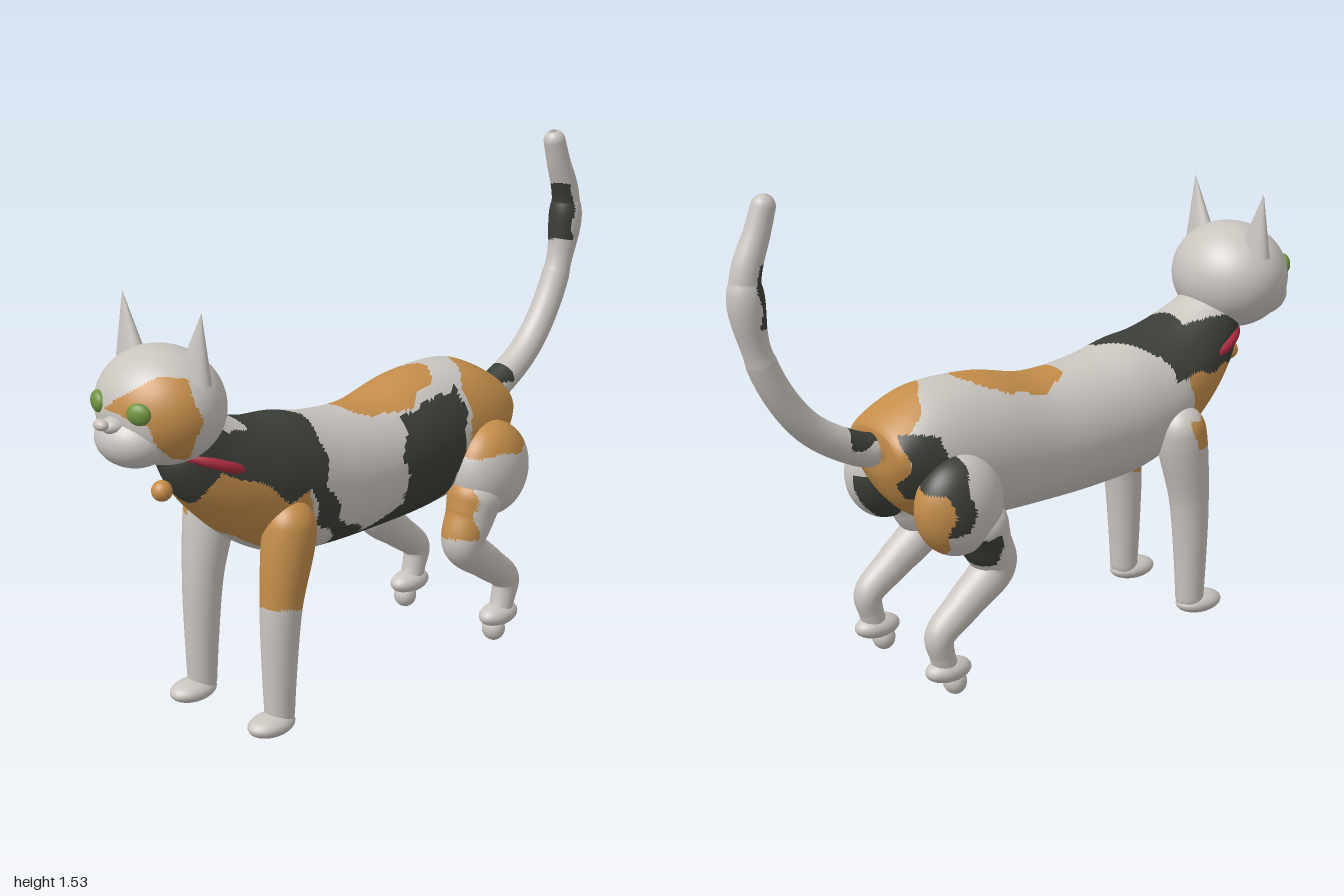
import * as THREE from 'three';
import { ParametricGeometry } from 'three/addons/geometries/ParametricGeometry.js';

const V = (x, y, z) => new THREE.Vector3(x, y, z);
const curve = (pts) => new THREE.CatmullRomCurve3(pts);
const WHITE = 0, ORANGE = 1, DARK = 2;

export function createModel() {
  const cat = new THREE.Group();
  cat.name = 'cat';
  const mat = (name, color) => {
    const m = new THREE.MeshStandardMaterial({ color });
    m.name = name;
    return m;
  };
  const white = mat('white fur', 0xc9c4be), orange = mat('orange fur', 0xc48d4a);
  const dark = mat('dark fur', 0x3b3e37), red = mat('red collar', 0xa82a3c);
  const green = mat('green eye', 0x6f9440), pink = mat('pale nose', 0xccbfb8);
  const fur = [white, orange, dark];

  const add = (name, geometry, material) => {
    const m = new THREE.Mesh(geometry, material);
    m.name = name;
    cat.add(m);
    return m;
  };

  // Sorts triangles into fur colour groups by a rule on their centre
  const addFur = (name, source, rule) => {
    const g = source.index ? source.toNonIndexed() : source;
    const p = g.attributes.position, n = g.attributes.normal;
    const bins = [[], [], []];
    for (let i = 0; i < p.count; i += 3) {
      const c = [0, 1, 2].map((k) => (p.getComponent(i, k) + p.getComponent(i + 1, k) + p.getComponent(i + 2, k)) / 3);
      const w = 0.008 * Math.sin(c[2] * 45 + c[0] * 30);
      bins[rule(c[0] + w, c[1] + w, c[2] + 0.008 * Math.sin(c[1] * 50))].push(i);
    }
    const pos = [], nor = [], out = new THREE.BufferGeometry();
    bins.forEach((bin, b) => {
      if (bin.length) out.addGroup(pos.length / 3, bin.length * 3, b);
      for (const i of bin) for (let j = i; j < i + 3; j++) {
        pos.push(p.getX(j), p.getY(j), p.getZ(j));
        nor.push(n.getX(j), n.getY(j), n.getZ(j));
      }
    });
    out.setAttribute('position', new THREE.Float32BufferAttribute(pos, 3));
    out.setAttribute('normal', new THREE.Float32BufferAttribute(nor, 3));
    return add(name, out, fur);
  };

  const ellipsoid = (x, y, z, rx, ry, rz, seg = 24) =>
    new THREE.SphereGeometry(1, seg, Math.ceil(seg * 0.7)).scale(rx, ry, rz).translate(x, y, z);

  // Round limb through [x, y, z, radius] points, with domed ends
  const limb = (pts, stacks = 70, slices = 28) => {
    const path = curve(pts.map((p) => V(p[0], p[1], p[2])));
    const radius = curve(pts.map((p) => V(p[3], 0, 0)));
    const start = path.getPoint(0), end = path.getPoint(1);
    return new ParametricGeometry((u, v, target) => {
      const c = path.getPoint(v), t = path.getTangent(v);
      const r = radius.getPoint(v).x;
      const d = Math.min(1, c.distanceTo(start) / r, c.distanceTo(end) / r);
      const k = r * Math.sqrt(Math.max(0.002, 1 - (1 - d) ** 2));
      const side = V(1, 0, 0).addScaledVector(t, -t.x).normalize();
      const up = V().crossVectors(t, side);
      const a = u * Math.PI * 2;
      target.copy(c).addScaledVector(side, k * Math.cos(a)).addScaledVector(up, k * Math.sin(a));
    }, slices, stacks);
  };

  const inside = (poly, a, b) => {
    let hit = false;
    poly.forEach(([x1, y1], i) => {
      const [x2, y2] = poly[(i + 1) % poly.length];
      if ((y1 > b) !== (y2 > b) && a < x1 + ((b - y1) * (x2 - x1)) / (y2 - y1)) hit = !hit;
    });
    return hit;
  };

  // Body and neck: [top z, top y, bottom z, bottom y, half width]
  const sections = [
    [-0.57, 0.80, -0.565, 0.69, 0.115], [-0.55, 0.825, -0.555, 0.65, 0.14],
    [-0.48, 0.87, -0.51, 0.57, 0.17], [-0.40, 0.90, -0.42, 0.50, 0.185],
    [-0.2, 0.90, -0.22, 0.465, 0.19], [0, 0.86, 0, 0.46, 0.185],
    [0.2, 0.875, 0.2, 0.465, 0.185], [0.33, 0.905, 0.36, 0.485, 0.19],
    [0.43, 0.915, 0.5, 0.55, 0.19], [0.52, 0.94, 0.62, 0.65, 0.17],
    [0.6, 0.98, 0.71, 0.75, 0.135], [0.66, 1.02, 0.75, 0.84, 0.11], [0.7, 1.04, 0.74, 0.88, 0.1],
  ];
  const topLine = curve(sections.map((s) => V(s[4], s[1], s[0])));
  const bottomLine = curve(sections.map((s) => V(s[4], s[3], s[2])));
  const body = new ParametricGeometry((u, v, target) => {
    const t = topLine.getPoint(v), b = bottomLine.getPoint(v);
    const e = Math.min(1, v / 0.02, (1 - v) / 0.02);
    const k = Math.sqrt(Math.max(0.001, 1 - (1 - e) ** 2));
    const a = u * Math.PI * 2, s = (Math.sin(a) * k) / 2;
    target.set(t.x * k * Math.cos(a), (t.y + b.y) / 2 + (t.y - b.y) * s, (t.z + b.z) / 2 + (t.z - b.z) * s);
  }, 100, 160);

  // Dark side patch outline as [z, y]
  const sidePatch = [
    [0.62, 1.0], [0.25, 0.95], [0.31, 0.73], [0.25, 0.60], [0.11, 0.51], [-0.03, 0.56],
    [-0.02, 0.71], [-0.06, 0.83], [-0.31, 0.87], [-0.28, 0.71], [-0.22, 0.42], [0.22, 0.42],
    [0.245, 0.53], [0.35, 0.63], [0.37, 0.72], [0.46, 0.72], [0.67, 0.85], [0.76, 0.9],
  ];
  addFur('body', body, (x, y, z) => {
    if (z > 0.53 && z < 0.68 && y > 0.93 && Math.abs(x) < 0.1) return WHITE;
    if (z > 0.6 && y > 0.73 + x * x * 6 && Math.abs(x) < 0.13) return DARK;
    if (x > 0.03 && inside(sidePatch, z, y) && (z > 0.1 || y < 0.8 || x > 0.12)) return DARK;
    if (x <= 0.03 && z > 0.29 - x * 0.8 && y > 0.8) return DARK;
    if (z > (x > 0 ? 0.38 : 0.47)) return Math.abs(x + 0.01) < 0.075 && y < 0.61 ? WHITE : ORANGE;
    if (y > 0.75 && (x / 0.11) ** 2 + ((z + 0.1) / 0.18) ** 2 < 1) return ORANGE;
    if (x < -0.1 && z < -0.43 && z > -0.54 && y < 0.8 && y > 0.6) return DARK;
    return z < -0.4 + 0.5 * x - (x < 0 ? x * x * 3 : 0) && (y > 0.64 || z < -0.42) ? ORANGE : WHITE;
  });

  // Head and muzzle
  addFur('head', ellipsoid(0, 1.035, 0.77, 0.195, 0.165, 0.17, 110), (x, y, z) => {
    if (y < 0.885 && z < 0.8) return DARK;
    if (z < 0.8 || x < -0.045) return WHITE;
    const cheek = x > 0.115 && y > 0.92 && y < 1.15;
    const brow = y > 1.045 - 0.1 * x && y < Math.min(1.08 + 0.75 * x, 1.15);
    return cheek || brow ? ORANGE : WHITE;
  });
  add('muzzle', ellipsoid(0, 0.965, 0.87, 0.115, 0.082, 0.1, 36), white);
  add('nose', ellipsoid(0, 1.027, 0.982, 0.025, 0.016, 0.018), pink);
  add('nose bridge', ellipsoid(0, 1.015, 0.93, 0.035, 0.025, 0.045), white);

  // Collar and bell
  const collar = add('collar', new THREE.TorusGeometry(0.14, 0.016, 14, 60), red);
  collar.rotation.x = Math.PI / 2 - 0.39;
  collar.position.set(0, 0.843, 0.62);
  add('bell', ellipsoid(0, 0.783, 0.775, 0.03, 0.03, 0.03), orange);

  // Tail
  addFur('tail', limb([
    [0, 0.73, -0.53, 0.052], [0, 0.755, -0.62, 0.05], [0, 0.86, -0.785, 0.046],
    [0, 1.065, -0.915, 0.044], [0, 1.3, -0.955, 0.044], [0, 1.44, -0.91, 0.037], [0, 1.535, -0.88, 0.033],
  ], 140, 40), (x, y, z) => {
    if (z > -0.655 && y > 0.77) return DARK;
    return y > 1.18 && y < 1.36 && z > -0.937 ? DARK : WHITE;
  });

  for (const s of [1, -1]) {
    const label = s > 0 ? 'left ' : 'right ';

    // Eye
    const eye = ellipsoid(0, 0, 0, 0.036, 0.031, 0.02).rotateY(s * 0.4).translate(s * 0.083, 1.06, 0.919);
    add(label + 'eye', eye, green);

    // Ear: flattened cone leaning outwards
    const ear = new THREE.ConeGeometry(1, 0.2, 28, 6).scale(0.062, 1, 0.034);
    ear.applyMatrix4(new THREE.Matrix4().makeShear(0, 0, s * 0.18, 0, 0, 0));
    ear.translate(s * 0.142, 1.222, 0.758);
    add(label + 'ear', ear, white);

    // Front leg and paw
    addFur(label + 'front leg', limb([
      [s * 0.165, 0.71, 0.435, 0.07], [s * 0.165, 0.6, 0.45, 0.078], [s * 0.165, 0.4, 0.483, 0.062],
      [s * 0.165, 0.2, 0.493, 0.051], [s * 0.165, 0.02, 0.495, 0.042],
    ], 90, 40), (x, y, z) => {
      if (s > 0) return y > 0.4 ? ORANGE : WHITE;
      return x < -0.18 && y > 0.59 && y < 0.68 && z > 0.44 ? ORANGE : WHITE;
    });
    add(label + 'front paw', ellipsoid(s * 0.167, 0.042, 0.53, 0.056, 0.033, 0.08), white);

    // Thigh
    addFur(label + 'thigh', ellipsoid(s * 0.185, 0.588, -0.395, 0.1, 0.15, 0.14, 70), (x, y, z) => {
      if (s > 0) return y > 0.655 ? ORANGE : x < 0.16 && y < 0.6 && z < -0.4 ? DARK : WHITE;
      if (z < -0.47 && y < 0.66) return ORANGE;
      return z < -0.41 && y > 0.53 ? DARK : WHITE;
    });

    // Lower hind leg with knee and hock
    addFur(label + 'hind leg', limb([
      [s * 0.185, 0.58, -0.35, 0.1], [s * 0.185, 0.46, -0.305, 0.077], [s * 0.185, 0.375, -0.275, 0.066],
      [s * 0.188, 0.28, -0.38, 0.054], [s * 0.19, 0.2, -0.47, 0.045],
      [s * 0.19, 0.14, -0.463, 0.038], [s * 0.19, 0.06, -0.435, 0.036],
    ], 100, 32), (x, y, z) => {
      if (s > 0) return z > -0.265 && y > 0.41 ? ORANGE : WHITE;
      return y > 0.4 && y < 0.5 && z < -0.3 ? DARK : WHITE;
    });
    add(label + 'hind paw', ellipsoid(s * 0.19, 0.088, -0.442, 0.048, 0.036, 0.075), white);
    add(label + 'hind toes', ellipsoid(s * 0.19, 0.045, -0.42, 0.038, 0.04, 0.035), white);
  }
  return cat;
}
